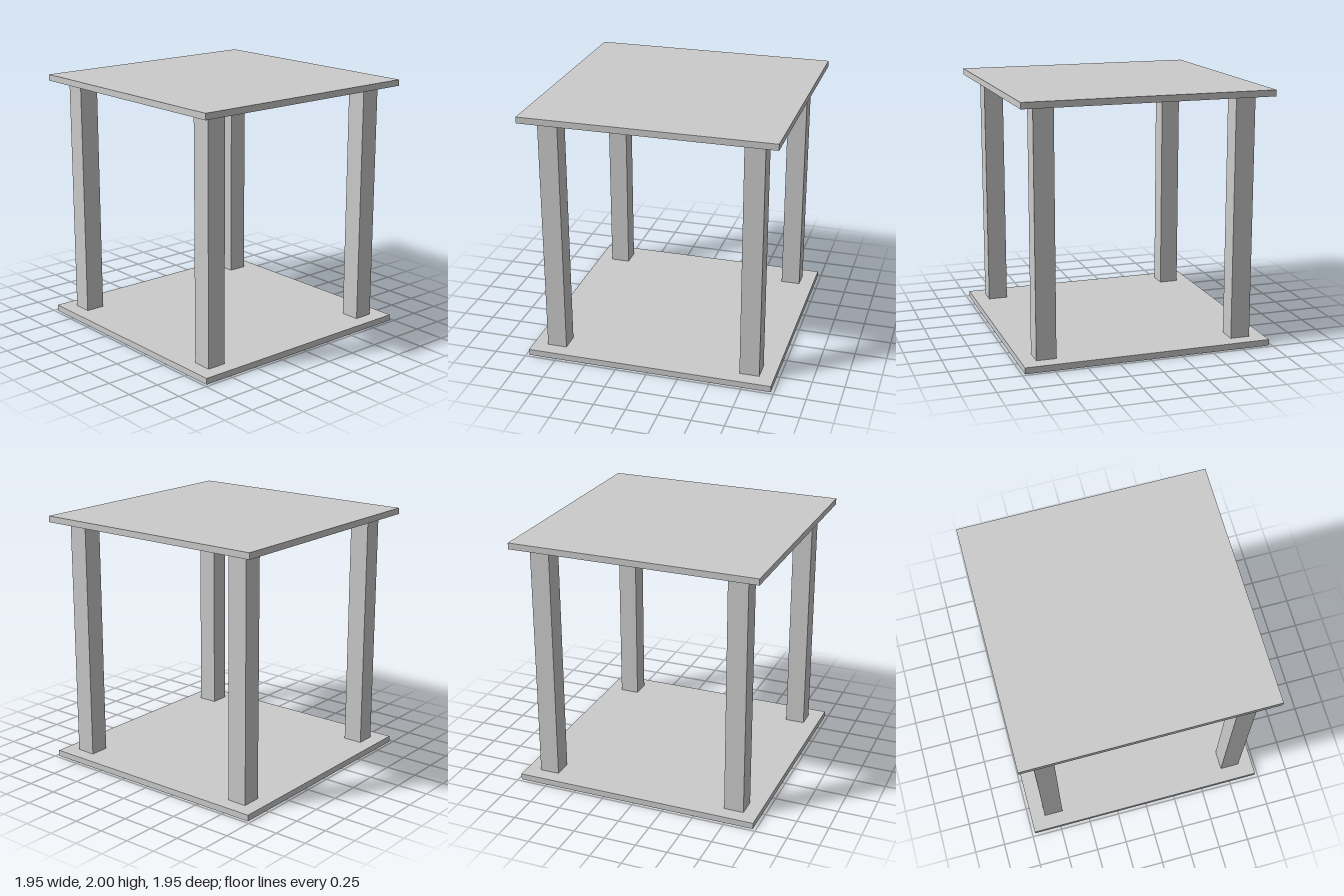
import * as THREE from 'three';

const SIZE = 1.951;   // plate width and depth
const THICK = 0.049;  // plate thickness
const HEIGHT = 2;
const LEG = 0.155;    // leg section
const OFFSET = 0.782; // leg centre from the middle

export function createModel() {
  const group = new THREE.Group();
  group.name = 'squareSideTable';
  const material = new THREE.MeshStandardMaterial({ color: 0xcccccc, flatShading: true });

  const addBox = (name, w, h, d, x, y, z) => {
    const mesh = new THREE.Mesh(new THREE.BoxGeometry(w, h, d), material);
    mesh.name = name;
    mesh.position.set(x, y, z);
    group.add(mesh);
  };

  // Two equal square plates
  addBox('lowerShelf', SIZE, THICK, SIZE, 0, THICK / 2, 0);
  addBox('tableTop', SIZE, THICK, SIZE, 0, HEIGHT - THICK / 2, 0);

  // Four square legs standing between the plates
  for (const [sx, side] of [[1, 'Left'], [-1, 'Right']]) {
    for (const [sz, end] of [[1, 'front'], [-1, 'back']]) {
      addBox(`${end}${side}Leg`, LEG, HEIGHT - 2 * THICK, LEG, sx * OFFSET, HEIGHT / 2, sz * OFFSET);
    }
  }
  return group;
}
